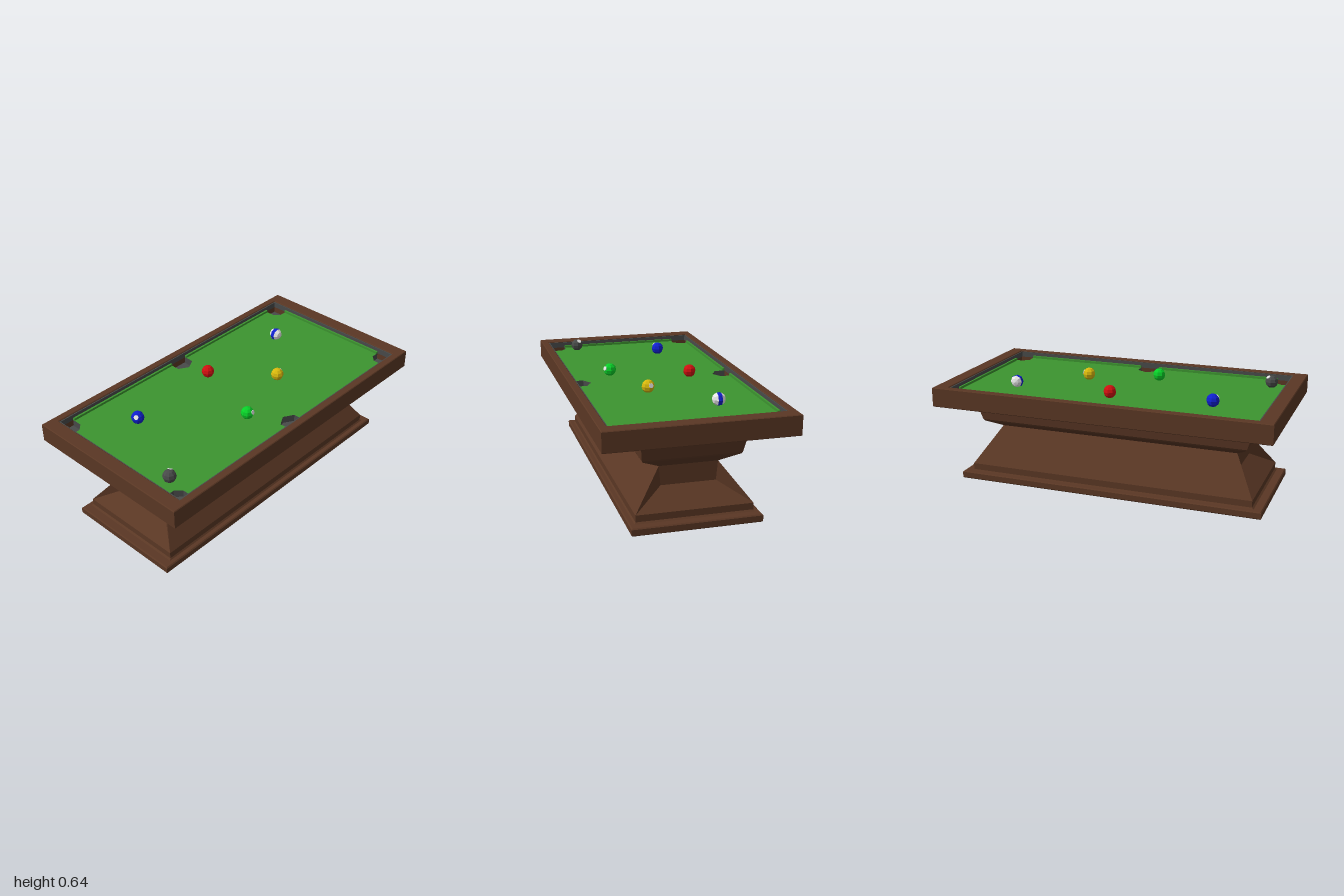
import * as THREE from 'three';

const mat = (name, color) => {
  const m = new THREE.MeshStandardMaterial({ color });
  m.name = name;
  return m;
};

export function createModel() {
  const group = new THREE.Group();
  const wood = mat('wood', 0x5a3724), felt = mat('felt', 0x3c942f), grey = mat('dark grey', 0x484a49);
  const red = mat('red', 0xd01010), blue = mat('blue', 0x1020d0), yellow = mat('yellow', 0xd8b80c);
  const green = mat('bright green', 0x08d028), white = mat('white', 0xe8e8e8);

  const add = (name, geometry, material, x = 0, y = 0, z = 0, parent = group) => {
    const m = new THREE.Mesh(geometry, material);
    m.name = name;
    m.position.set(x, y, z);
    parent.add(m);
    return m;
  };

  // Flat-faced geometry from half the polygons; the rest is a half turn about y
  const turned = (faces) => {
    const pos = [];
    for (const s of [1, -1])
      for (const f of faces)
        for (let i = 1; i < f.length - 1; i++)
          for (const p of [f[0], f[i], f[i + 1]]) pos.push(p[0] * s, p[1], p[2] * s);
    const g = new THREE.BufferGeometry();
    g.setAttribute('position', new THREE.Float32BufferAttribute(pos, 3));
    g.computeVertexNormals();
    return g;
  };
  const flip = ([x, y, z], sx, sz) => [x * sx, y, z * sz];

  // Stacked rectangles given as [half width, height, half length]
  const tiers = (rings) => {
    const faces = [];
    for (let i = 0; i < rings.length - 1; i++) {
      const a = rings[i], b = rings[i + 1];
      faces.push([a, flip(a, 1, -1), flip(b, 1, -1), b]);
      faces.push([flip(a, -1, 1), a, b, flip(b, -1, 1)]);
    }
    return turned(faces);
  };

  // Pedestal
  add('plinth', tiers([[0, 0, 0], [0.355, 0, 0.92], [0.36, 0.006, 0.925], [0.36, 0.038, 0.925],
    [0.354, 0.044, 0.919], [0.332, 0.044, 0.875], [0.325, 0.052, 0.865], [0.325, 0.09, 0.865]]), wood);
  const A = [0.325, 0.09, 0.865], B = [0.155, 0.19, 0.735], C = [0.165, 0.3, 0.735];
  add('waist', turned([
    [A, flip(A, 1, -1), flip(C, 1, -1), C],
    [flip(A, -1, 1), A, B, flip(B, -1, 1)],
    [flip(B, -1, 1), B, C, flip(C, -1, 1)],
    [A, C, B],
    [flip(A, -1, 1), flip(B, -1, 1), flip(C, -1, 1)],
  ]), wood);
  add('flare', tiers([C, [0.27, 0.355, 0.805], [0.276, 0.365, 0.812], [0.292, 0.48, 0.85],
    [0.298, 0.5, 0.856]]), wood);

  // Rectangular outlines and rings
  const rect = (w, l, T = THREE.Shape) => new T([[w, l], [-w, l], [-w, -l], [w, -l]]
    .map(([x, y]) => new THREE.Vector2(x, y)));
  const extrude = (shape, depth, bevel = 0) => new THREE.ExtrudeGeometry(shape, {
    depth: depth - 2 * bevel, bevelEnabled: bevel > 0, bevelThickness: bevel, bevelSize: bevel,
    bevelOffset: -bevel, bevelSegments: 1,
  }).translate(0, 0, bevel).rotateX(-Math.PI / 2);
  const ring = (w, l, iw, il, depth, bevel) => {
    const s = rect(w, l);
    s.holes.push(rect(iw, il, THREE.Path));
    return extrude(s, depth, bevel);
  };
  add('frame', ring(0.525, 1, 0.48, 0.917, 0.115, 0.004), wood, 0, 0.495);
  add('underside', new THREE.BoxGeometry(1.03, 0.025, 1.98), wood, 0, 0.508);
  add('railLining', ring(0.482, 0.919, 0.473, 0.91, 0.034), grey, 0, 0.57);

  // Playing surface notched by six pockets
  const quarter = [[0.474, 0], [0.375, 0], [0.41, 0.06], [0.474, 0.06], [0.474, 0.825],
    [0.41, 0.825], [0.375, 0.86], [0.375, 0.912]].slice(1);
  const upper = [...quarter, ...quarter.map(([x, y]) => [-x, y]).reverse()];
  const lower = upper.slice(1, -1).map(([x, y]) => [x, -y]).reverse();
  const outline = [...upper, ...lower].map(([x, y]) => new THREE.Vector2(x, y));
  add('playingSurface', extrude(new THREE.Shape(outline), 0.045), [felt, grey], 0, 0.525);
  add('pocketFloor', new THREE.BoxGeometry(0.96, 0.008, 1.834), grey, 0, 0.524);

  // Cushions between the pockets
  for (const s of [1, -1]) {
    add('endCushion', new THREE.BoxGeometry(0.75, 0.016, 0.012), felt, 0, 0.576, s * 0.904);
    for (const t of [1, -1])
      add('sideCushion', new THREE.BoxGeometry(0.012, 0.016, 0.765), felt, s * 0.467, 0.576, t * 0.4425);
  }

  // Balls, each with a small white spot
  const R = 0.038, Y = 0.57 + R - 0.004;
  const ball = (name, material, x, z, spot) => {
    const g = new THREE.Group();
    g.name = name;
    g.position.set(x, Y, z);
    group.add(g);
    const geo = new THREE.SphereGeometry(R, 8, 6).toNonIndexed();
    geo.computeVertexNormals();
    add('ballBody', geo, material, 0, 0, 0, g);
    if (!spot) return;
    const d = new THREE.Vector3(...spot).normalize();
    const p = add('ballSpot', new THREE.CylinderGeometry(0.014, 0.014, 0.004, 8), white, 0, 0, 0, g);
    p.position.copy(d).multiplyScalar(R - 0.002);
    p.quaternion.setFromUnitVectors(new THREE.Vector3(0, 1, 0), d);
  };
  ball('redBall', red, -0.225, -0.01);
  ball('yellowBall', yellow, 0.1, -0.27, [-0.25, 0.3, -0.9]);
  ball('greenBall', green, 0.23, 0.14, [0.85, 0.3, -0.3]);
  ball('blueBall', blue, -0.19, 0.59, [0.45, 0.55, 0.7]);
  ball('blackBall', grey, 0.305, 0.82, [-0.3, 0.75, -0.5]);

  // Striped ball: blue band between white caps facing the sides
  const striped = new THREE.Group();
  striped.name = 'stripedBall';
  striped.position.set(-0.205, Y, -0.61);
  striped.rotation.z = Math.PI / 2;
  group.add(striped);
  [[0, 0.4, white], [0.4, 0.2, blue], [0.6, 0.4, white]].forEach(([from, span, m]) => {
    const geo = new THREE.SphereGeometry(R, 8, span > 0.3 ? 2 : 1, 0, Math.PI * 2, from * Math.PI, span * Math.PI)
      .toNonIndexed();
    geo.computeVertexNormals();
    add(m === blue ? 'stripe' : 'ballCap', geo, m, 0, 0, 0, striped);
  });
  return group;
}
